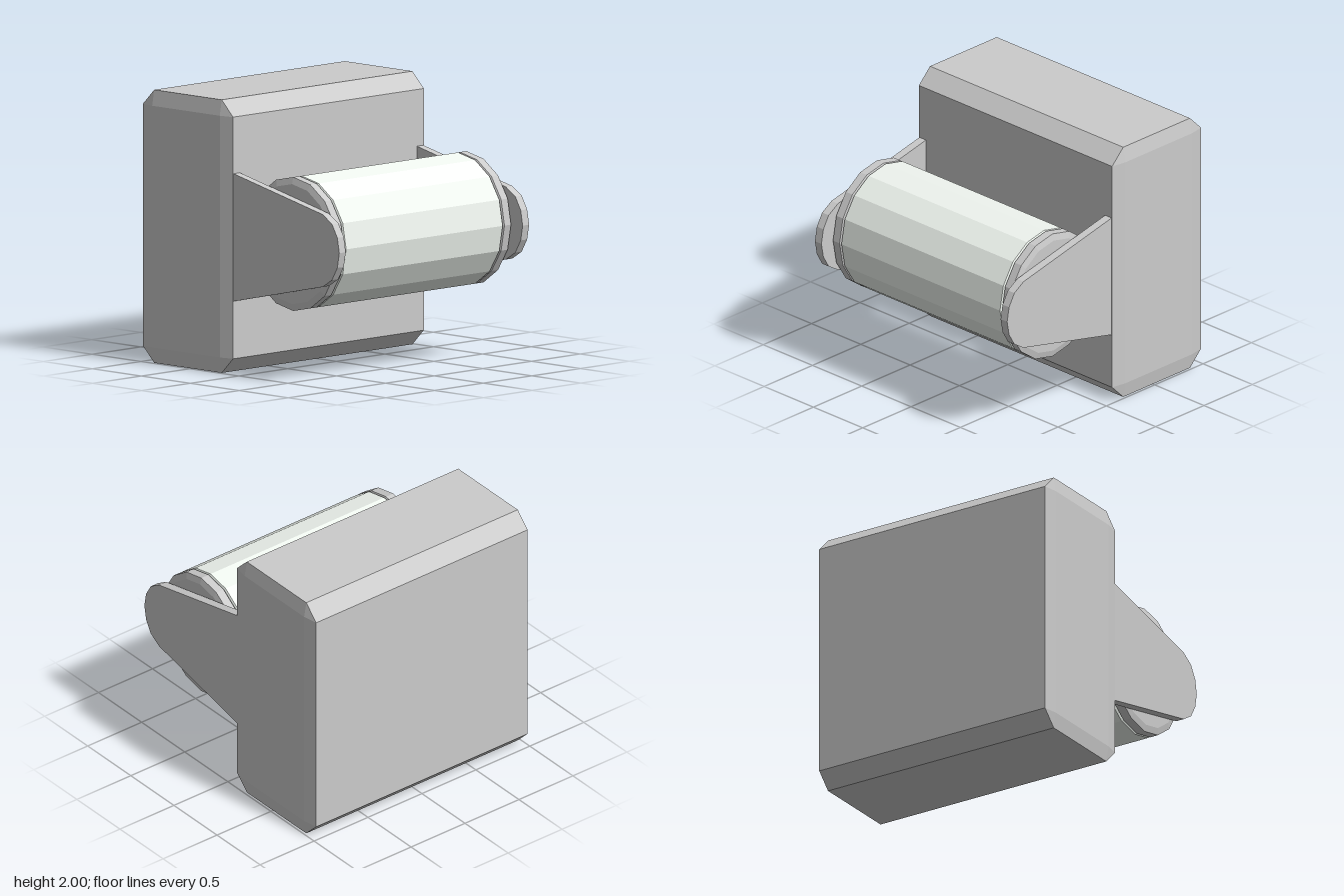
import * as THREE from 'three';
import { ConvexGeometry } from 'three/addons/geometries/ConvexGeometry.js';

const grey = new THREE.MeshStandardMaterial({ color: 0xcccccc, flatShading: true });
const pale = new THREE.MeshStandardMaterial({ color: 0xf0f6f0, flatShading: true });

function addMesh(parent, name, geometry, material = grey) {
  const mesh = new THREE.Mesh(geometry, material);
  mesh.name = name;
  parent.add(mesh);
  return mesh;
}

// Solid turned about the x axis between two ends; each bevel is [axial, radial]
function turned(x0, x1, radius, bevel0, bevel1) {
  const profile = [
    [0, -x1], [radius - bevel1[1], -x1], [radius, -x1 + bevel1[0]],
    [radius, -x0 - bevel0[0]], [radius - bevel0[1], -x0], [0, -x0],
  ].map(([r, y]) => new THREE.Vector2(r, y));
  return new THREE.LatheGeometry(profile, 16).rotateZ(Math.PI / 2);
}

// Block with chamfered long edges and shallow bevelled ends
function blockGeometry() {
  const points = [];
  const [cy, cz, hy, hz, c] = [1, -0.54, 1, 0.46, 0.115];
  for (const sx of [-1, 1]) for (const sy of [-1, 1]) for (const sz of [-1, 1]) {
    const add = (x, y, z) => points.push(new THREE.Vector3(sx * x, cy + sy * y, cz + sz * z));
    add(0.98, hy, hz - c);
    add(0.98, hy - c, hz);
    add(1, hy - c, hz - c);
  }
  return new ConvexGeometry(points);
}

// Tapered side plate with a rounded nose, extruded along x
function armGeometry() {
  const upper = [[-0.1, 0.472], [0.83, 0.265], [0.925, 0.205], [0.98, 0.11], [1, 0]];
  const lower = upper.slice(0, -1).reverse().map(([z, y]) => [z, -y]);
  const shape = new THREE.Shape([...upper, ...lower].map(([z, y]) => new THREE.Vector2(z, 1.003 + y)));
  return new THREE.ExtrudeGeometry(shape, { depth: 0.066, bevelEnabled: false })
    .rotateY(-Math.PI / 2).translate(0.033, 0, 0);
}

export function createModel() {
  const model = new THREE.Group();
  model.name = 'rollerBlock';

  addMesh(model, 'block', blockGeometry());

  // Pair of arms holding the roller
  const arm = armGeometry();
  for (const [name, side] of [['leftArm', 1], ['rightArm', -1]]) {
    addMesh(model, name, arm).position.x = side * 0.942;
  }

  // Roller, slightly flattened front to back, with an end ring on each side
  const roller = new THREE.Group();
  roller.name = 'roller';
  roller.position.set(0, 1.002, 0.445);
  roller.scale.z = 0.455 / 0.49;
  model.add(roller);

  addMesh(roller, 'rollerDrum', turned(-0.81, 0.81, 0.49, [0.006, 0.012], [0.006, 0.012]), pale);
  const inner = [0.006, 0.012], outer = [0.012, 0.05];
  addMesh(roller, 'leftEndRing', turned(0.817, 0.902, 0.49, inner, outer));
  addMesh(roller, 'rightEndRing', turned(-0.902, -0.817, 0.49, outer, inner));
  addMesh(roller, 'axle', turned(-0.92, 0.92, 0.12, [0.001, 0], [0.001, 0]));

  return model;
}
